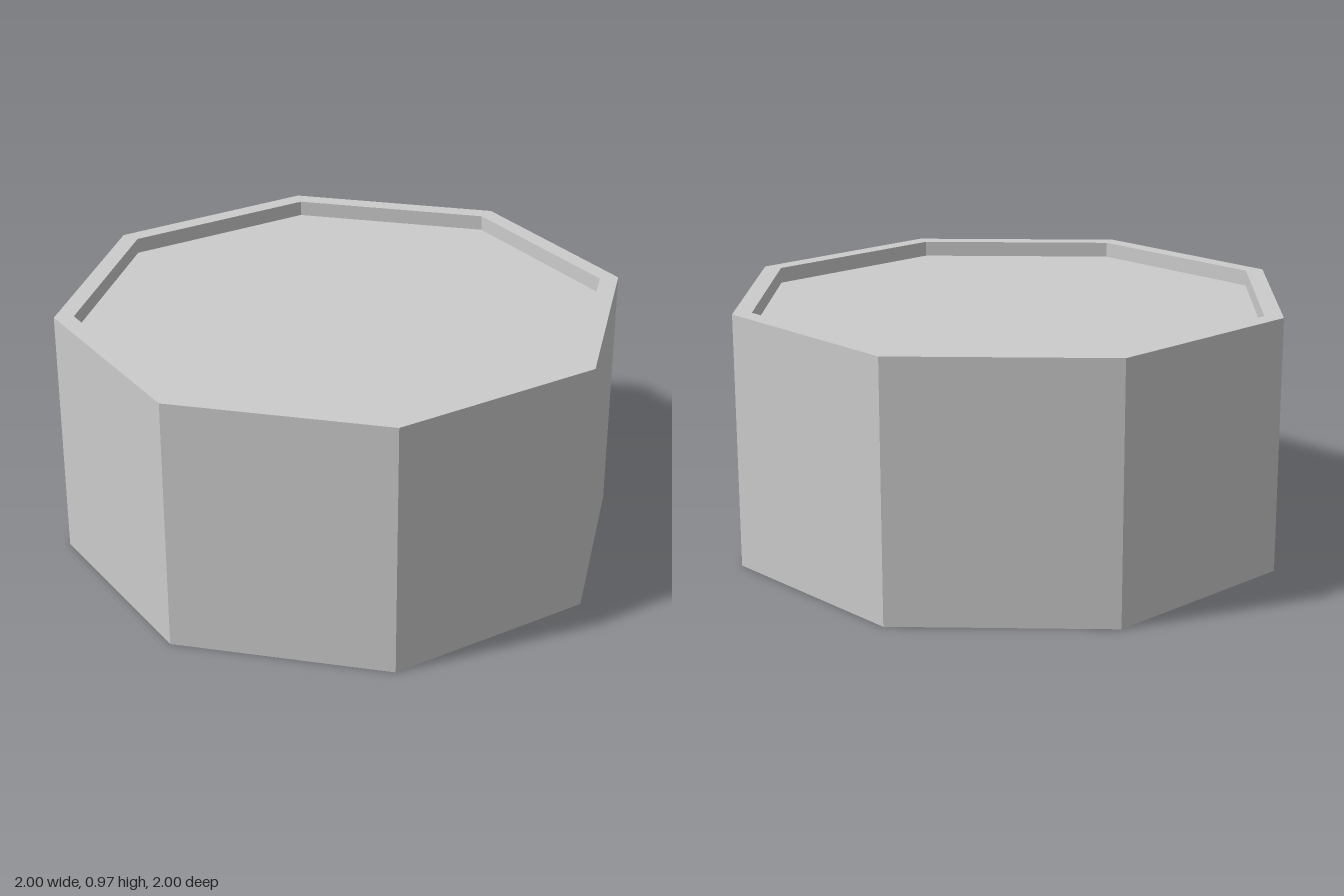
import * as THREE from 'three';

export function createModel() {
  const group = new THREE.Group();
  group.name = 'octagonalTray';

  const sides = 8;
  const height = 0.973;
  const recess = 0.06;
  // Corner radius of an octagon from the distance to its flat sides
  const corner = (apothem) => apothem / Math.cos(Math.PI / sides);
  const outer = corner(1);
  const inner = corner(0.932);

  // Solid block with a raised rim around a shallow recessed top
  const profile = [
    [0, 0],
    [outer, 0],
    [outer, height],
    [inner, height],
    [inner, height - recess],
    [0, height - recess],
  ].map(([r, y]) => new THREE.Vector2(r, y));

  const body = new THREE.Mesh(
    new THREE.LatheGeometry(profile, sides, Math.PI / sides),
    new THREE.MeshStandardMaterial({ color: 0xcccccc, flatShading: true })
  );
  body.name = 'rimmedBody';
  group.add(body);

  return group;
}
